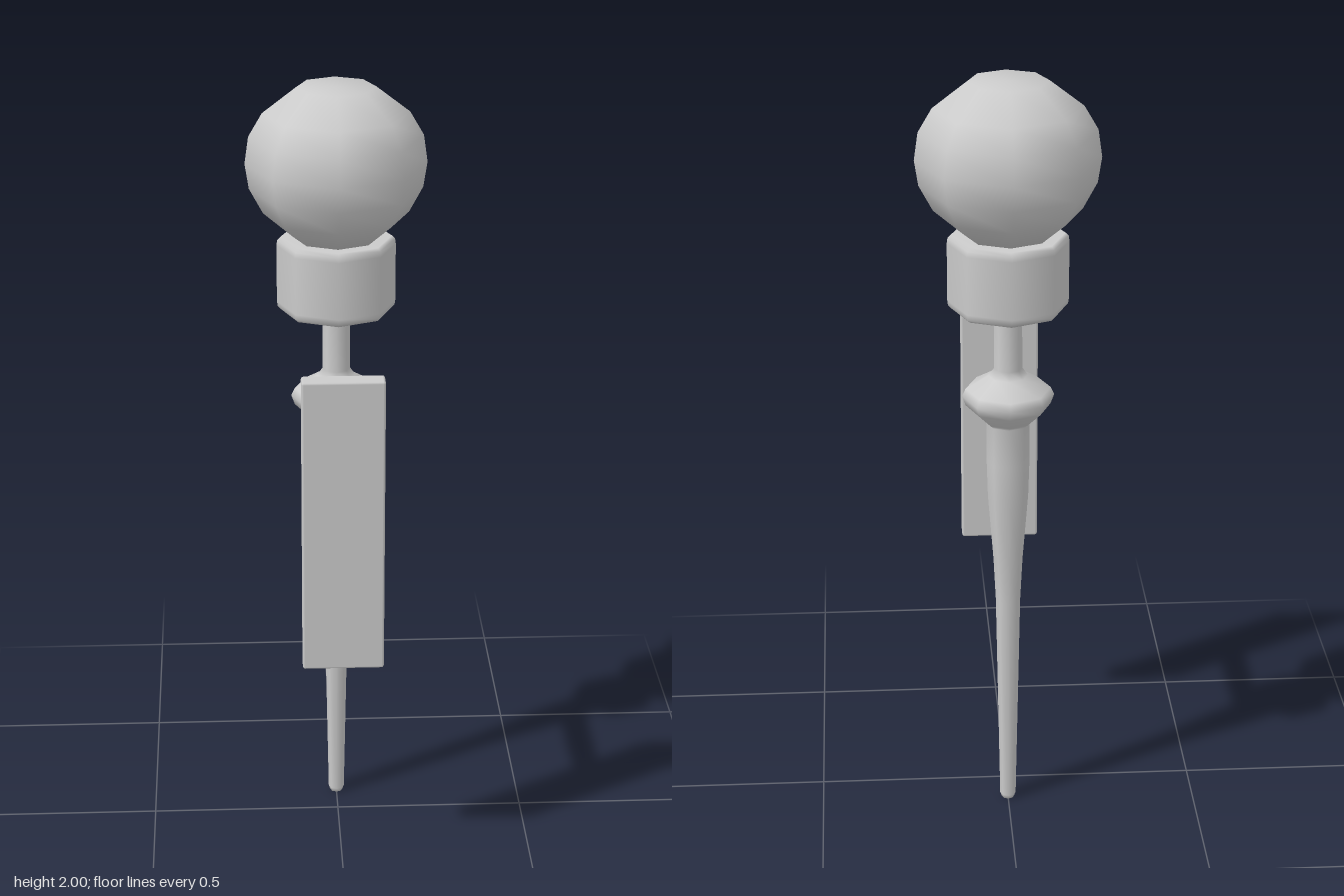
import * as THREE from 'three';
import { RoundedBoxGeometry } from 'three/addons/geometries/RoundedBoxGeometry.js';

const SIDES = 8;
const AXIS_Z = -0.1; // upright axis of the torch

export function createModel() {
  const group = new THREE.Group();
  const material = new THREE.MeshStandardMaterial({ color: 0xcccccc });

  const add = (name, geometry, x, y, z) => {
    const mesh = new THREE.Mesh(geometry, material);
    mesh.name = name;
    mesh.position.set(x, y, z);
    group.add(mesh);
    return mesh;
  };

  // Turned part from [radius, height] pairs, bottom to top
  const turned = (name, profile) => add(
    name,
    new THREE.LatheGeometry(profile.map(([r, y]) => new THREE.Vector2(r, y)), SIDES),
    0, 0, AXIS_Z,
  );

  // Tapered stem with its ring-shaped swelling and thin neck
  turned('stem', [
    [0, 0], [0.017, 0], [0.021, 0.012], [0.032, 0.6], [0.038, 0.72], [0.052, 0.9],
    [0.055, 1.0], [0.055, 1.105], [0.066, 1.115], [0.108, 1.155], [0.117, 1.18],
    [0.108, 1.2], [0.05, 1.235], [0.036, 1.255], [0.035, 1.43],
  ]);

  // Cup with softened rims
  turned('cup', [
    [0, 1.418], [0.142, 1.418], [0.15, 1.426], [0.152, 1.44],
    [0.152, 1.59], [0.15, 1.604], [0.142, 1.612], [0, 1.612],
  ]);

  // Faceted globe, flattened at top and bottom
  turned('globe', [
    [0, 1.605], [0.11, 1.612], [0.185, 1.675], [0.22, 1.74], [0.23, 1.805],
    [0.22, 1.875], [0.185, 1.935], [0.1, 2], [0, 2],
  ]);

  // Arm joining the stem to the mounting plate
  const arm = add('arm', new THREE.CylinderGeometry(0.031, 0.031, 0.35, SIDES), 0, 0.99, 0.115);
  arm.rotation.x = Math.PI / 2;
  arm.geometry.rotateY(Math.PI / SIDES * 2);

  // Mounting plate
  add('mountingPlate', new RoundedBoxGeometry(0.206, 0.78, 0.052, 1, 0.006), 0, 0.99, 0.303);

  return group;
}
